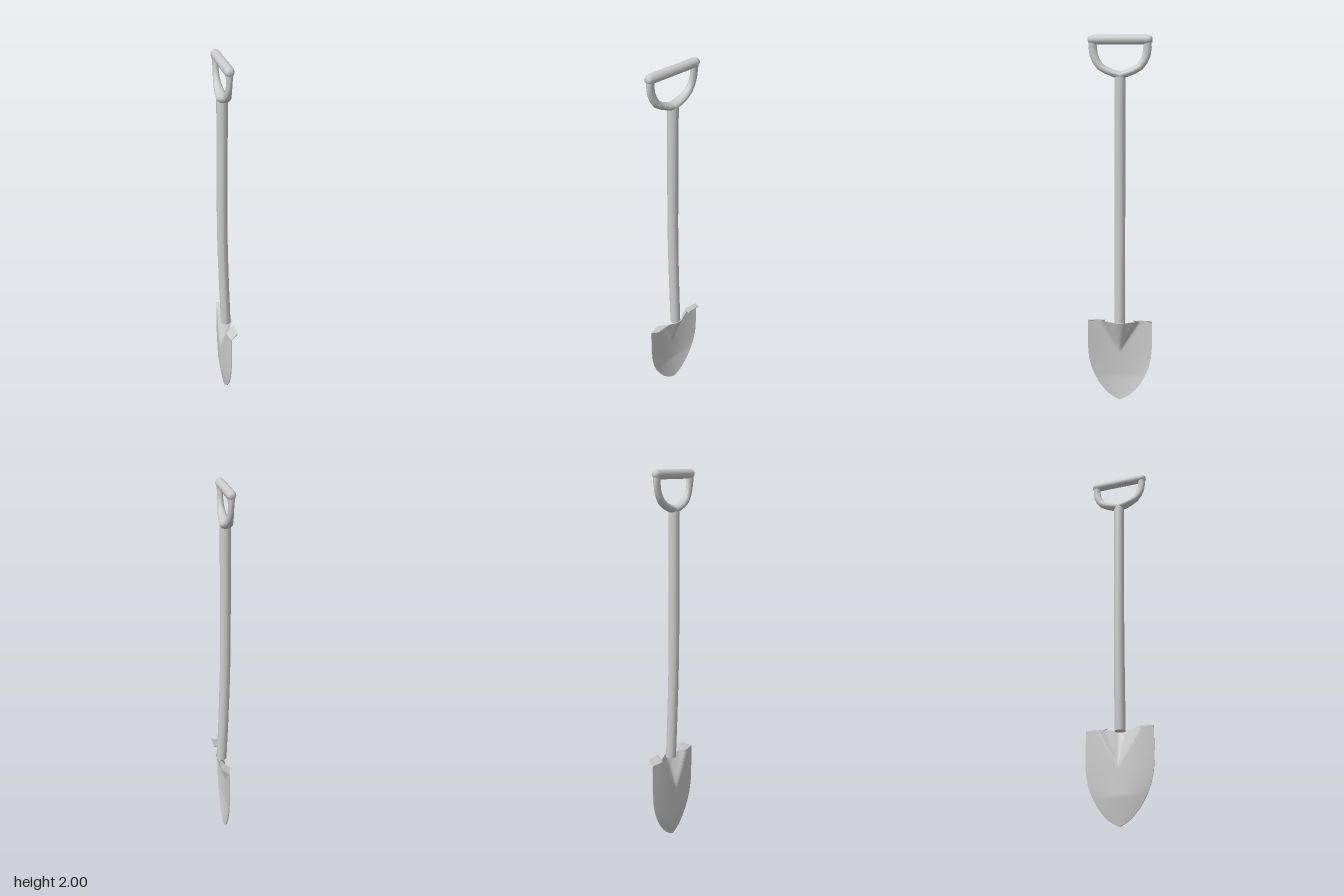
import * as THREE from 'three';

const metal = new THREE.MeshStandardMaterial({ color: 0xcccccc, side: THREE.DoubleSide });

function geometryFrom(positions, indices) {
  const g = new THREE.BufferGeometry();
  g.setAttribute('position', new THREE.Float32BufferAttribute(positions, 3));
  g.setIndex(indices);
  g.computeVertexNormals();
  return g;
}

function part(name, geometry) {
  const mesh = new THREE.Mesh(geometry, metal);
  mesh.name = name;
  return mesh;
}

// Piecewise-linear lookup in a list of [input, output] pairs
function lookup(table, t) {
  for (let i = 1; i < table.length; i++) {
    const [a, va] = table[i - 1], [b, vb] = table[i];
    if (t <= b) return va + (vb - va) * (t - a) / (b - a);
  }
  return table[table.length - 1][1];
}

// Bent plate: a surface at(u, v), its offset copy, and a rim joining them
function plate(nu, nv, at, offset) {
  const pos = [], idx = [];
  const row = nu + 1, count = row * (nv + 1);
  for (const k of [0, 1])
    for (let j = 0; j <= nv; j++)
      for (let i = 0; i <= nu; i++)
        at(i / nu, j / nv).forEach((c, n) => pos.push(c + k * offset[n]));
  for (let j = 0; j < nv; j++)
    for (let i = 0; i < nu; i++) {
      const a = j * row + i, b = a + 1, c = a + row, d = c + 1;
      idx.push(a, b, d, a, d, c);
      idx.push(count + a, count + d, count + b, count + a, count + c, count + d);
    }
  const loop = [];
  for (let i = 0; i < nu; i++) loop.push(i);
  for (let j = 0; j < nv; j++) loop.push(j * row + nu);
  for (let i = nu; i > 0; i--) loop.push(nv * row + i);
  for (let j = nv; j > 0; j--) loop.push(j * row);
  // The rim has its own vertices so that its edges stay sharp
  const base = count * 2, n = loop.length;
  for (const p of loop)
    for (const q of [p, count + p]) pos.push(pos[q * 3], pos[q * 3 + 1], pos[q * 3 + 2]);
  for (let i = 0; i < n; i++) {
    const a = base + 2 * i, b = base + 2 * ((i + 1) % n);
    idx.push(b, a, a + 1, b, a + 1, b + 1);
  }
  return geometryFrom(pos, idx);
}

// Elliptical loft through [z, y, half thickness in plane, half thickness in x]
function loft(sections, x, sides) {
  const pos = [], idx = [];
  sections.forEach(([z, y, a, b], i) => {
    const p = sections[Math.max(i - 1, 0)];
    const q = sections[Math.min(i + 1, sections.length - 1)];
    const len = Math.hypot(q[0] - p[0], q[1] - p[1]);
    const nz = -(q[1] - p[1]) / len, ny = (q[0] - p[0]) / len;
    for (let s = 0; s < sides; s++) {
      const t = s / sides * Math.PI * 2;
      pos.push(x + b * Math.cos(t), y + ny * a * Math.sin(t), z + nz * a * Math.sin(t));
    }
  });
  for (let i = 0; i < sections.length - 1; i++)
    for (let s = 0; s < sides; s++) {
      const a = i * sides + s, b = i * sides + (s + 1) % sides;
      idx.push(a, b, b + sides, a, b + sides, a + sides);
    }
  return geometryFrom(pos, idx);
}

const TOP = 0.48, WIDTH = 0.178, THICK = 0.005;
const outline = [[0, 0.002], [0.012, 0.028], [0.03, 0.055], [0.06, 0.085], [0.1, 0.115],
  [0.15, 0.142], [0.2, 0.161], [0.26, 0.174], [0.32, WIDTH], [TOP, WIDTH]];
const socket = [[0, 1], [0.16, 0.98], [0.35, 0.8], [0.74, 0.45], [1, 0]];

// Dished blade surface with a cone-shaped socket swelling up to the shaft
function bladeX(y, z) {
  const w = lookup(outline, y);
  const depth = 0.021 * Math.min(1, y / 0.14);
  const t = Math.max(0, (y - 0.29) / (TOP - 0.29));
  const swell = t > 0 ? 0.063 * t * lookup(socket, Math.abs(z) / (0.112 * t)) : 0;
  return -depth * (1 - (z / w) ** 2) + swell;
}

export function createModel() {
  const model = new THREE.Group();
  model.name = 'shovel';

  // Blade
  model.add(part('blade', plate(48, 36, (u, v) => {
    const y = TOP * v ** 1.4;
    const z = (1 - 2 * u) * lookup(outline, y);
    return [bladeX(y, z), y, z];
  }, [-THICK, 0, 0])));

  // Foot treads folded forward from the blade's top edge
  for (const side of [1, -1]) {
    model.add(part(side > 0 ? 'frontFootTread' : 'backFootTread', plate(8, 1, (u, v) => {
      const k = side > 0 ? 1 - u : u;
      const zBase = 0.092 + (WIDTH - 0.092) * k;
      const zTip = 0.077 + 0.079 * k;
      const xBase = bladeX(TOP, zBase) - THICK / 2;
      return [xBase + (0.037 - xBase) * v, TOP - THICK + 0.02 * v,
        side * (zBase + (zTip - zBase) * v)];
    }, [0, THICK, 0])));
  }

  // Gently bent shaft
  const bend = new THREE.CatmullRomCurve3([[0.008, 0.47], [-0.003, 0.75], [-0.011, 1.05],
    [-0.012, 1.4], [-0.011, 1.8]].map(([x, y]) => new THREE.Vector3(x, y, 0)));
  const shaft = new THREE.CylinderGeometry(0.028, 0.028, 1, 16, 20);
  const p = shaft.attributes.position;
  for (let i = 0; i < p.count; i++) {
    const c = bend.getPoint(p.getY(i) + 0.5);
    p.setXYZ(i, p.getX(i) + c.x, c.y, p.getZ(i));
  }
  shaft.computeVertexNormals();
  model.add(part('shaft', shaft));

  // D-shaped handle: a yoke rising from the shaft and a round grip across it
  const handle = new THREE.Group();
  handle.name = 'handle';
  const arm = [[0.04, 1.816, 0.018, 0.026], [0.07, 1.828, 0.018, 0.023],
    [0.1, 1.846, 0.019, 0.019], [0.12, 1.874, 0.02, 0.016], [0.132, 1.905, 0.021, 0.014],
    [0.137, 1.94, 0.021, 0.015], [0.137, 1.977, 0.02, 0.019]];
  const yoke = [...arm.map(([z, ...rest]) => [-z, ...rest]).reverse(),
    [0, 1.804, 0.02, 0.028], ...arm];
  handle.add(part('yoke', loft(yoke, -0.011, 16)));
  const profile = [[0, -0.16], [0.013, -0.16], [0.02, -0.149], [0.0235, -0.136],
    [0.0235, 0.136], [0.02, 0.149], [0.013, 0.16], [0, 0.16]];
  const grip = part('grip', new THREE.LatheGeometry(
    profile.map(([r, h]) => new THREE.Vector2(r, h)), 16));
  grip.rotation.x = Math.PI / 2;
  grip.position.set(-0.011, 1.9765, 0);
  handle.add(grip);
  model.add(handle);

  return model;
}
